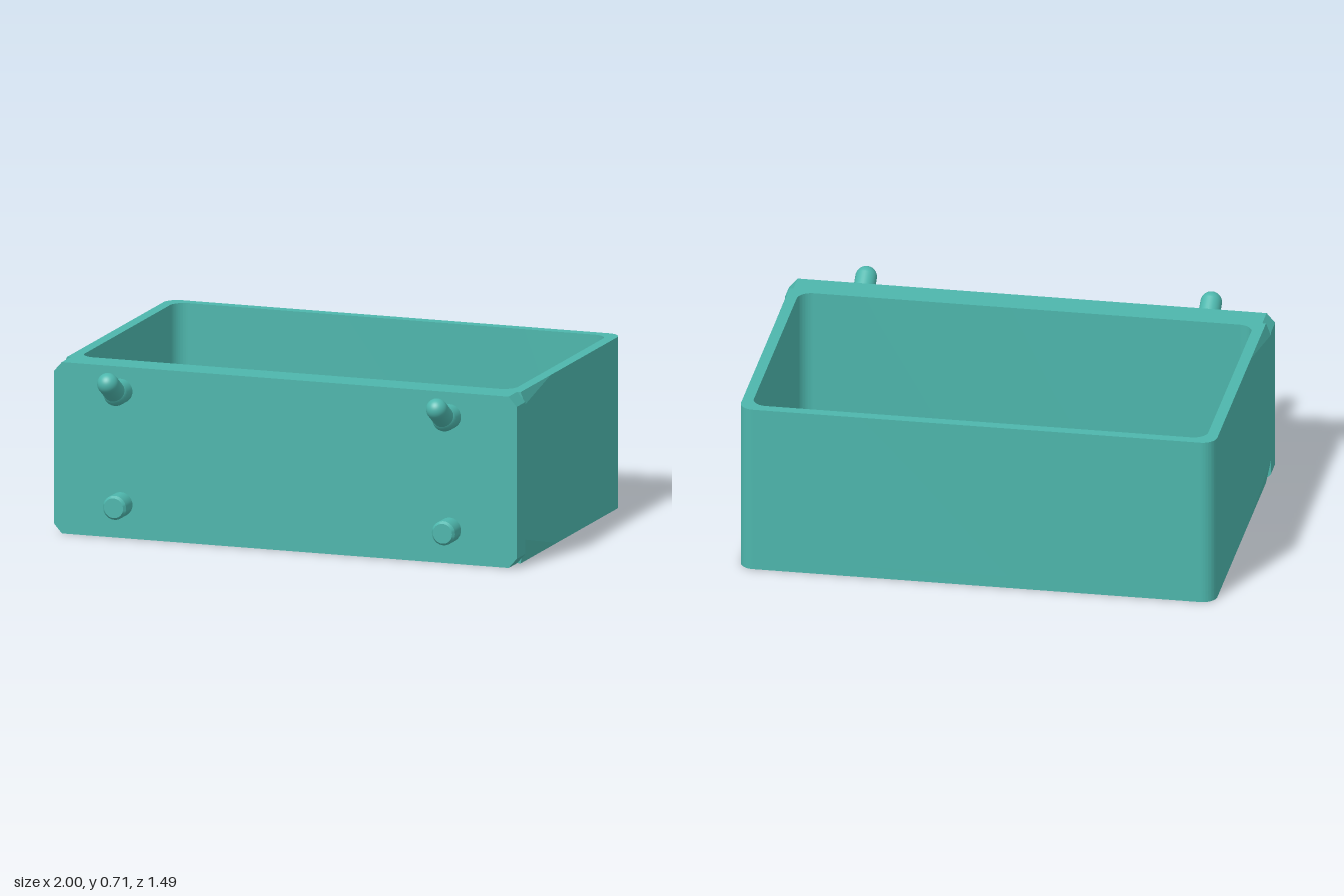
import * as THREE from 'three';
import { toCreasedNormals } from 'three/addons/utils/BufferGeometryUtils.js';

const H = 0.71, FLOOR = 0.05, JOIN = 0.45, FRONT = 0.55, BACK = -0.74, HALF = 0.98;
const material = new THREE.MeshStandardMaterial({ color: 0x4db6ac });

// Plan outline with separate radii for back and front corners (shape y = -z)
function outline(target, hx, zBack, zFront, rBack, rFront) {
  const t = -zBack, b = -zFront;
  target.moveTo(-hx + rFront, b);
  target.lineTo(hx - rFront, b);
  if (rFront) target.absarc(hx - rFront, b + rFront, rFront, -Math.PI / 2, 0);
  target.lineTo(hx, t - rBack);
  target.absarc(hx - rBack, t - rBack, rBack, 0, Math.PI / 2);
  target.lineTo(-hx + rBack, t);
  target.absarc(-hx + rBack, t - rBack, rBack, Math.PI / 2, Math.PI);
  target.lineTo(-hx, b + rFront);
  if (rFront) target.absarc(-hx + rFront, b + rFront, rFront, Math.PI, Math.PI * 1.5);
  return target;
}

function slab(shape, y, height) {
  const g = new THREE.ExtrudeGeometry(shape, { depth: height, bevelEnabled: false, curveSegments: 12 });
  g.rotateX(-Math.PI / 2).translate(0, y, 0);
  return toCreasedNormals(g, 0.6);
}

// Thin flare that widens each side wall out to the mounting plate
function flareGeometry(s) {
  const A = [HALF, 0, 0.03], B = [HALF, 0, JOIN], C = [1, 0.1, JOIN];
  const D = [1, 0.66, JOIN], E = [HALF, H, JOIN], F = [HALF, H, 0.1];
  const tris = [[C, A, F], [C, F, D], [B, A, C], [D, F, E], [B, C, D], [B, D, E]];
  const pos = tris.flatMap(t => (s > 0 ? t : [...t].reverse()).flatMap(([x, y, z]) => [x * s, y, z]));
  const g = new THREE.BufferGeometry();
  g.setAttribute('position', new THREE.Float32BufferAttribute(pos, 3));
  g.computeVertexNormals();
  return g;
}

export function createModel() {
  const model = new THREE.Group();
  model.name = 'wallBin';
  const add = (name, geometry, parent = model) => {
    const mesh = new THREE.Mesh(geometry, material);
    mesh.name = name;
    parent.add(mesh);
    return mesh;
  };

  // Bin: floor and walls
  const plan = () => outline(new THREE.Shape(), HALF, BACK, JOIN, 0.06, 0);
  add('floor', slab(plan(), 0, FLOOR));
  const walls = plan();
  walls.holes.push(outline(new THREE.Path(), 0.935, -0.695, 0.42, 0.06, 0.06));
  add('walls', slab(walls, FLOOR, H - FLOOR));

  // Mounting plate with chamfered corners
  const cx = 0.965, cy = 0.04;
  const plate = new THREE.Shape([
    [-cx, 0], [cx, 0], [1, cy], [1, H - cy], [cx, H], [-cx, H], [-1, H - cy], [-1, cy],
  ].map(p => new THREE.Vector2(...p)));
  const plateGeo = new THREE.ExtrudeGeometry(plate, { depth: FRONT - JOIN, bevelEnabled: false });
  add('mountingPlate', plateGeo.translate(0, 0, JOIN));

  // Peg profile: chamfered end, axis turned to +z
  const pegGeo = toCreasedNormals(new THREE.LatheGeometry(
    [[0.05, -0.02], [0.05, 0.075], [0.041, 0.086], [0, 0.086]].map(p => new THREE.Vector2(...p)), 32), 0.5);
  pegGeo.rotateX(Math.PI / 2);

  for (const s of [1, -1]) {
    const side = s > 0 ? 'left' : 'right';
    add(side + 'Flare', flareGeometry(s));
    add(side + 'LowerPeg', pegGeo).position.set(s * 0.71, 0.14, FRONT);

    // Hook: straight root, elbow, then an upward arm with a round tip
    const hook = new THREE.Group();
    hook.name = side + 'Hook';
    hook.position.set(s * 0.71, 0.61, FRONT);
    const root = new THREE.CylinderGeometry(0.05, 0.05, 0.08, 32);
    add('hookRoot', root.rotateX(Math.PI / 2).translate(0, 0, 0.02), hook);
    add('hookElbow', new THREE.SphereGeometry(0.05, 32, 16), hook).position.z = 0.06;
    const arm = add('hookArm', new THREE.CapsuleGeometry(0.044, 0.11, 10, 32).translate(0, 0.055, 0), hook);
    arm.position.z = 0.06;
    arm.rotation.x = THREE.MathUtils.degToRad(57);
    model.add(hook);
  }
  return model;
}
